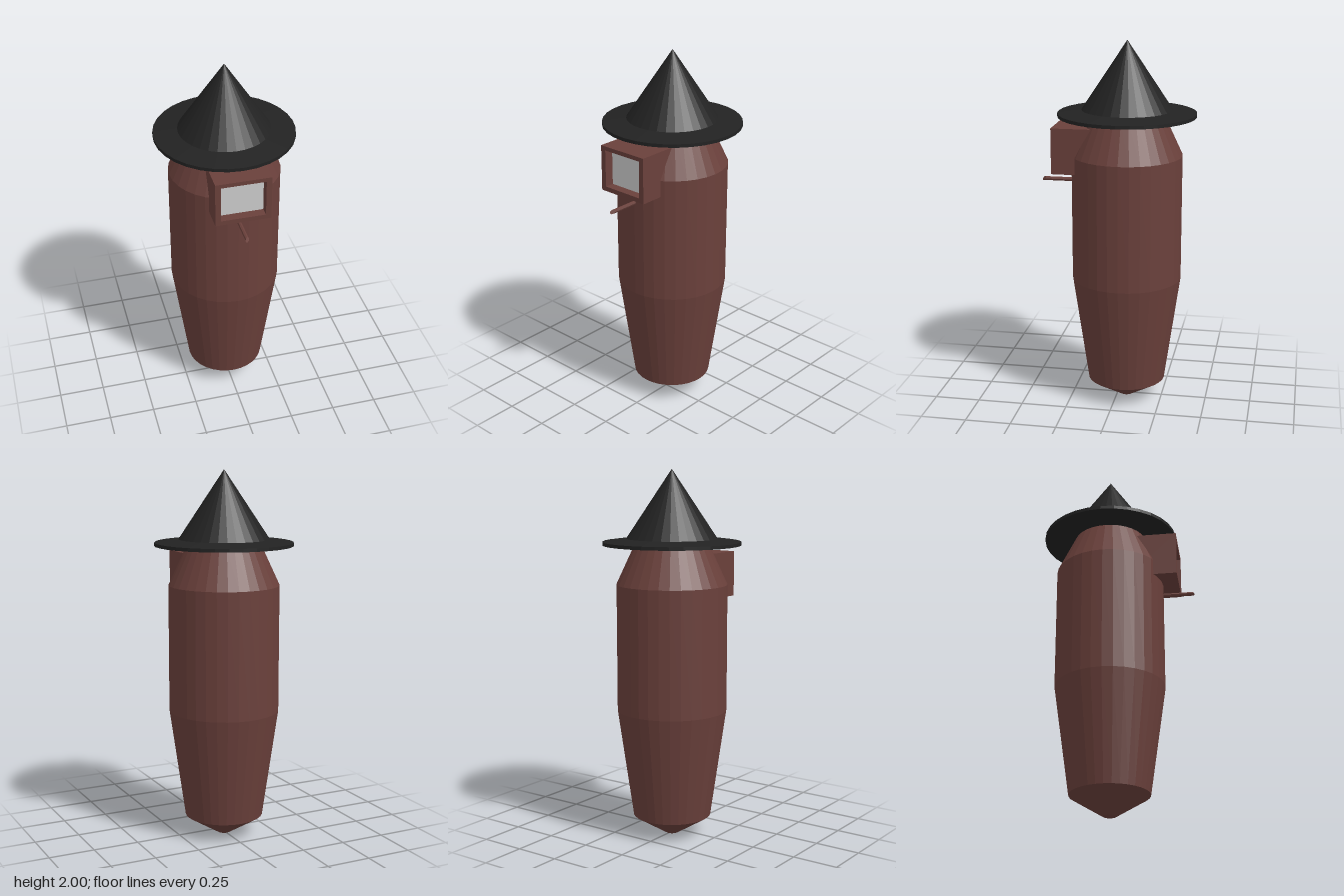
import * as THREE from 'three';

const SIDES = 32;
const AXIS_Z = -0.05; // the round body sits slightly behind the centre

const mat = (color) => new THREE.MeshStandardMaterial({ color, flatShading: true });

function add(group, name, geometry, material, x = 0, y = 0, z = 0) {
  const mesh = new THREE.Mesh(geometry, material);
  mesh.name = name;
  mesh.position.set(x, y, z);
  group.add(mesh);
  return mesh;
}

const lathe = (profile) =>
  new THREE.LatheGeometry(profile.map(([r, y]) => new THREE.Vector2(r, y)), SIDES);

function rectangle(PathType, halfW, y0, y1) {
  const p = new PathType();
  p.moveTo(-halfW, y0);
  p.lineTo(halfW, y0);
  p.lineTo(halfW, y1);
  p.lineTo(-halfW, y1);
  p.closePath();
  return p;
}

export function createModel() {
  const group = new THREE.Group();
  const brown = mat(0x6a403b);
  const black = mat(0x222222);
  const grey = mat(0xcccccc);

  // Tapered log body with a blunt pointed base
  add(group, 'body', lathe([
    [0, 0], [0.035, 0], [0.213, 0.11], [0.298, 0.705], [0.298, 1.39], [0.198, 1.605], [0, 1.605],
  ]), brown, 0, 0, AXIS_Z);

  // Conical roof with a thin, slightly sloping brim
  add(group, 'roof', lathe([
    [0, 1.6], [0.371, 1.6], [0.371, 1.618], [0.243, 1.635], [0, 2],
  ]), black, 0, 0, AXIS_Z);

  // Box frame around the window, running back into the body
  const frame = rectangle(THREE.Shape, 0.147, 1.3, 1.547);
  frame.holes.push(rectangle(THREE.Path, 0.118, 1.325, 1.525));
  add(group, 'windowBox',
    new THREE.ExtrudeGeometry(frame, { depth: 0.255, bevelEnabled: false }),
    brown, 0, 0, 0.08);

  // Recessed window pane
  add(group, 'windowPane', new THREE.BoxGeometry(0.236, 0.2, 0.02), grey, 0, 1.425, 0.275);

  // Perch with a slanted cut at its free end
  const perch = new THREE.CylinderGeometry(0.011, 0.011, 0.2, 8);
  perch.rotateX(Math.PI / 2);
  const p = perch.attributes.position;
  for (let i = 0; i < p.count; i++) {
    if (p.getZ(i) > 0) p.setZ(i, p.getZ(i) - 0.7 * p.getX(i) - 0.7 * p.getY(i));
  }
  perch.computeVertexNormals();
  add(group, 'perch', perch, brown, 0, 1.24, 0.308);

  return group;
}
